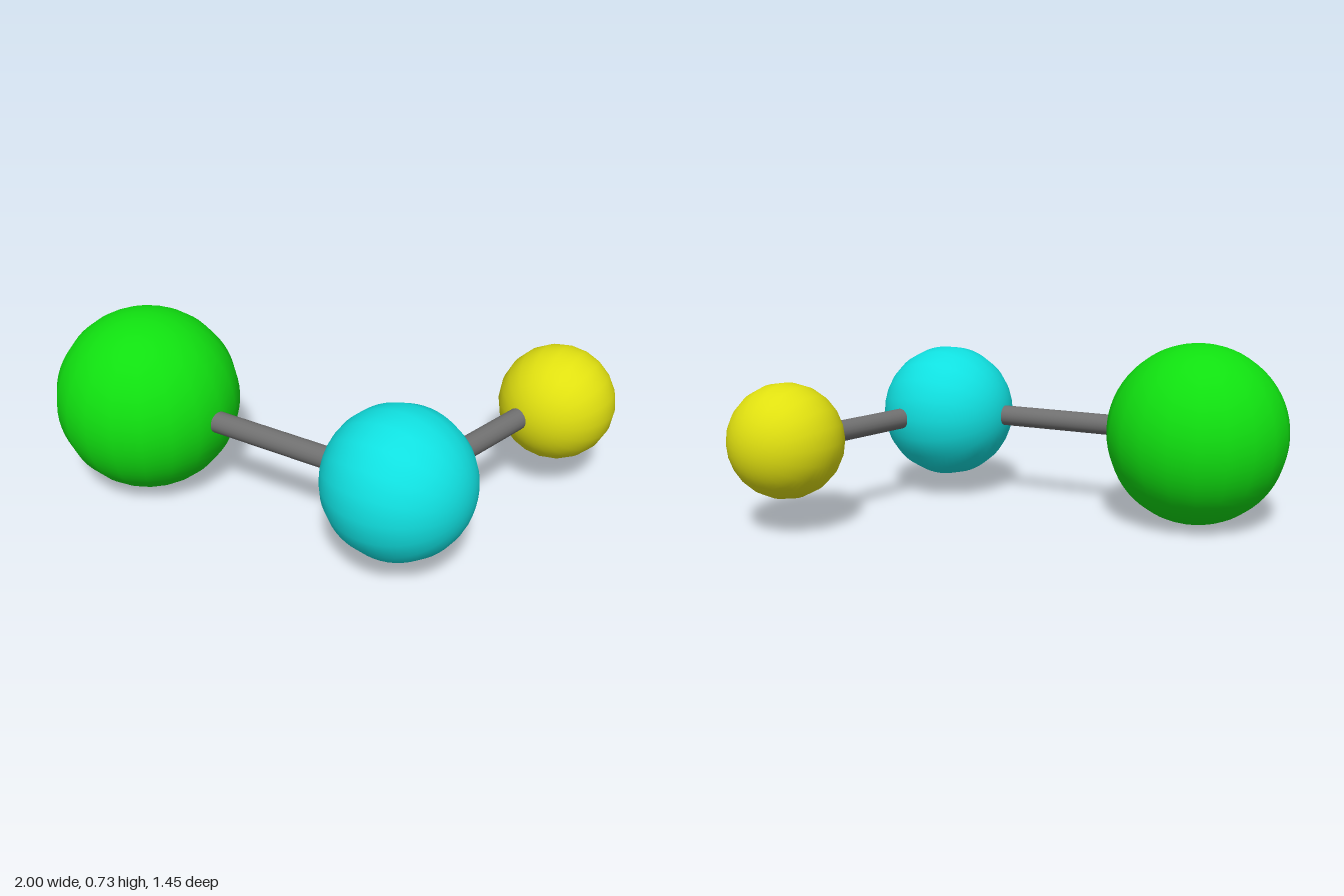
import * as THREE from 'three';

const Y = 0.37; // height shared by all centres

export function createModel() {
  const model = new THREE.Group();
  const add = (name, geometry, color) => {
    const mesh = new THREE.Mesh(geometry, new THREE.MeshStandardMaterial({ color }));
    mesh.name = name;
    model.add(mesh);
    return mesh;
  };

  // Balls: each has its pole along a different axis
  const ball = (name, radius, x, z, color, rx = 0, rz = 0) => {
    const mesh = add(name, new THREE.SphereGeometry(radius, 20, 32), color);
    mesh.position.set(x, Y, z);
    mesh.rotation.set(rx, 0, rz);
  };
  ball('largeBall', 0.367, -0.635, 0.356, 0x10e010);
  ball('middleBall', 0.286, 0.523, 0.355, 0x10e0e0, 0, Math.PI / 2);
  ball('smallBall', 0.23, 0.767, -0.495, 0xe0e010, Math.PI / 2, 0);

  // Rods: plain cylinders whose ends are sunk into the balls
  const rod = (name, x1, z1, x2, z2) => {
    const a = new THREE.Vector3(x1, Y, z1), b = new THREE.Vector3(x2, Y, z2);
    const dir = b.clone().sub(a);
    const mesh = add(name, new THREE.CylinderGeometry(0.043, 0.043, dir.length(), 20), 0x707070);
    mesh.position.copy(a).lerp(b, 0.5);
    mesh.quaternion.setFromUnitVectors(new THREE.Vector3(0, 1, 0), dir.normalize());
  };
  rod('longRod', -0.6, 0.375, 0.5, 0.354);
  rod('shortRod', 0.55, 0.33, 0.735, -0.46);

  return model;
}
